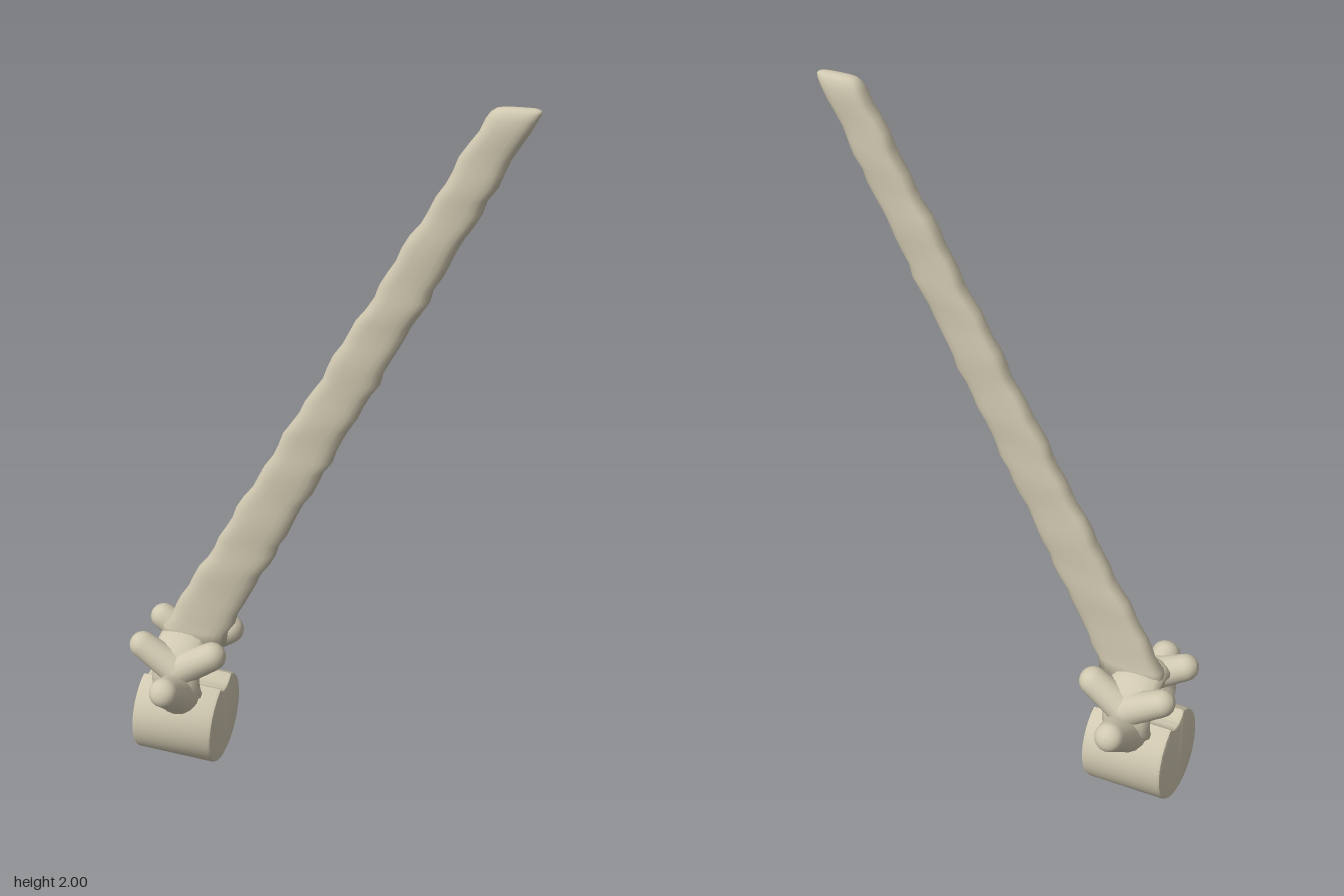
import * as THREE from 'three';
import { toCreasedNormals } from 'three/addons/utils/BufferGeometryUtils.js';

const bone = new THREE.MeshStandardMaterial({ color: 0xd0c8b0 });
bone.name = 'bone';

function part(name, geometry) {
  const mesh = new THREE.Mesh(geometry, bone);
  mesh.name = name;
  return mesh;
}

// Tapered stub with a rounded tip, running from a to b
function stub(name, a, b, r0, r1, depth = 1) {
  const from = new THREE.Vector3(...a), dir = new THREE.Vector3(...b).sub(from);
  const len = dir.length(), pts = [];
  for (let i = 0; i <= 6; i++) {
    const t = i / 6;
    pts.push(new THREE.Vector2(r0 + (r1 - r0) * Math.pow(t, 0.8), len * t));
  }
  for (let i = 1; i <= 5; i++) {
    const t = (i / 5) * Math.PI / 2;
    pts.push(new THREE.Vector2(i === 5 ? 0 : r1 * Math.cos(t), len + r1 * depth * Math.sin(t)));
  }
  const mesh = part(name, new THREE.LatheGeometry(pts, 16));
  mesh.position.copy(from);
  mesh.quaternion.setFromUnitVectors(new THREE.Vector3(0, 1, 0), dir.normalize());
  return mesh;
}

// Drum-shaped body whose top is notched by the round canal
function bodyGeometry() {
  const shape = new THREE.Shape(), a = 0.351;
  shape.absarc(0, 0, 0.135, Math.PI / 2 + a, Math.PI * 2.5 - a, false);
  shape.absarc(0, 0.165, 0.06, -0.689, -Math.PI + 0.689, true);
  const geo = new THREE.ExtrudeGeometry(shape, {
    depth: 0.226, curveSegments: 32, bevelEnabled: true,
    bevelThickness: 0.01, bevelSize: 0.01, bevelOffset: -0.01, bevelSegments: 2,
  });
  geo.translate(0, 0, -0.113).rotateY(Math.PI / 2);
  return toCreasedNormals(geo, 0.7);
}

// Long slanting blade lofted from horizontal rounded sections
function spineGeometry() {
  const rows = [[0.385, -0.48, -0.285, 0.042], [0.43, -0.472, -0.278, 0.035]]; // y, x0, x1, half depth
  const steps = 44, sides = 20;
  for (let i = 1; i <= steps; i++) {
    const t = i / steps;
    const wobble = 0.004 * Math.sin(i * 1.9) + 0.003 * Math.sin(i * 0.83 + 1);
    rows.push([
      0.43 + 1.51 * t,
      -0.472 + 0.868 * t + wobble,
      -0.278 + 0.798 * t + 0.8 * wobble + 0.002 * Math.sin(i * 2.7),
      0.032 + 0.0015 * Math.sin(i * 1.3),
    ]);
  }
  rows.push([1.97, 0.412, 0.538, 0.031], [1.988, 0.425, 0.547, 0.025],
    [1.996, 0.437, 0.547, 0.018], [2.0, 0.455, 0.535, 0.008]);

  const pos = [], index = [];
  const round = (v, p) => Math.sign(v) * Math.pow(Math.abs(v), p);
  for (const [y, x0, x1, d] of rows) {
    for (let j = 0; j < sides; j++) {
      const a = (j / sides) * Math.PI * 2;
      pos.push((x0 + x1) / 2 + round(Math.cos(a), 0.75) * (x1 - x0) / 2, y, round(Math.sin(a), 0.65) * d);
    }
  }
  for (let i = 0; i < rows.length - 1; i++) {
    for (let j = 0; j < sides; j++) {
      const k = (j + 1) % sides, a = i * sides + j, b = i * sides + k;
      index.push(a, a + sides, b, b, a + sides, b + sides);
    }
  }
  // End caps
  for (const [i, up] of [[0, false], [rows.length - 1, true]]) {
    const c = pos.length / 3, [y, x0, x1] = rows[i];
    pos.push((x0 + x1) / 2, y, 0);
    for (let j = 0; j < sides; j++) {
      const a = i * sides + j, b = i * sides + (j + 1) % sides;
      if (up) index.push(c, b, a); else index.push(c, a, b);
    }
  }
  const geo = new THREE.BufferGeometry();
  geo.setAttribute('position', new THREE.Float32BufferAttribute(pos, 3));
  geo.setIndex(index);
  geo.computeVertexNormals();
  return geo;
}

export function createModel() {
  const model = new THREE.Group();
  model.name = 'vertebra';

  const body = part('body', bodyGeometry());
  body.position.set(-0.415, 0.14, 0);
  body.rotation.z = -0.06;
  model.add(body);

  // Arch ringing the canal, broad along x
  const ring = new THREE.TorusGeometry(0.093, 0.033, 14, 40);
  ring.rotateY(Math.PI / 2).scale(2.2, 1, 1);
  const arch = part('arch', ring);
  arch.position.set(-0.408, 0.305, 0);
  model.add(arch);

  model.add(part('spinousProcess', spineGeometry()));

  // Paired side processes and joint knobs
  for (const [side, s] of [['left', 1], ['right', -1]]) {
    model.add(
      stub(side + 'TransverseProcess', [-0.405, 0.255, s * 0.085], [-0.405, 0.322, s * 0.198], 0.066, 0.042, 0.85),
      stub(side + 'FrontKnob', [-0.41, 0.335, s * 0.085], [-0.508, 0.398, s * 0.084], 0.05, 0.039),
      stub(side + 'BackKnob', [-0.41, 0.325, s * 0.085], [-0.3, 0.39, s * 0.08], 0.05, 0.042),
    );
  }
  return model;
}
